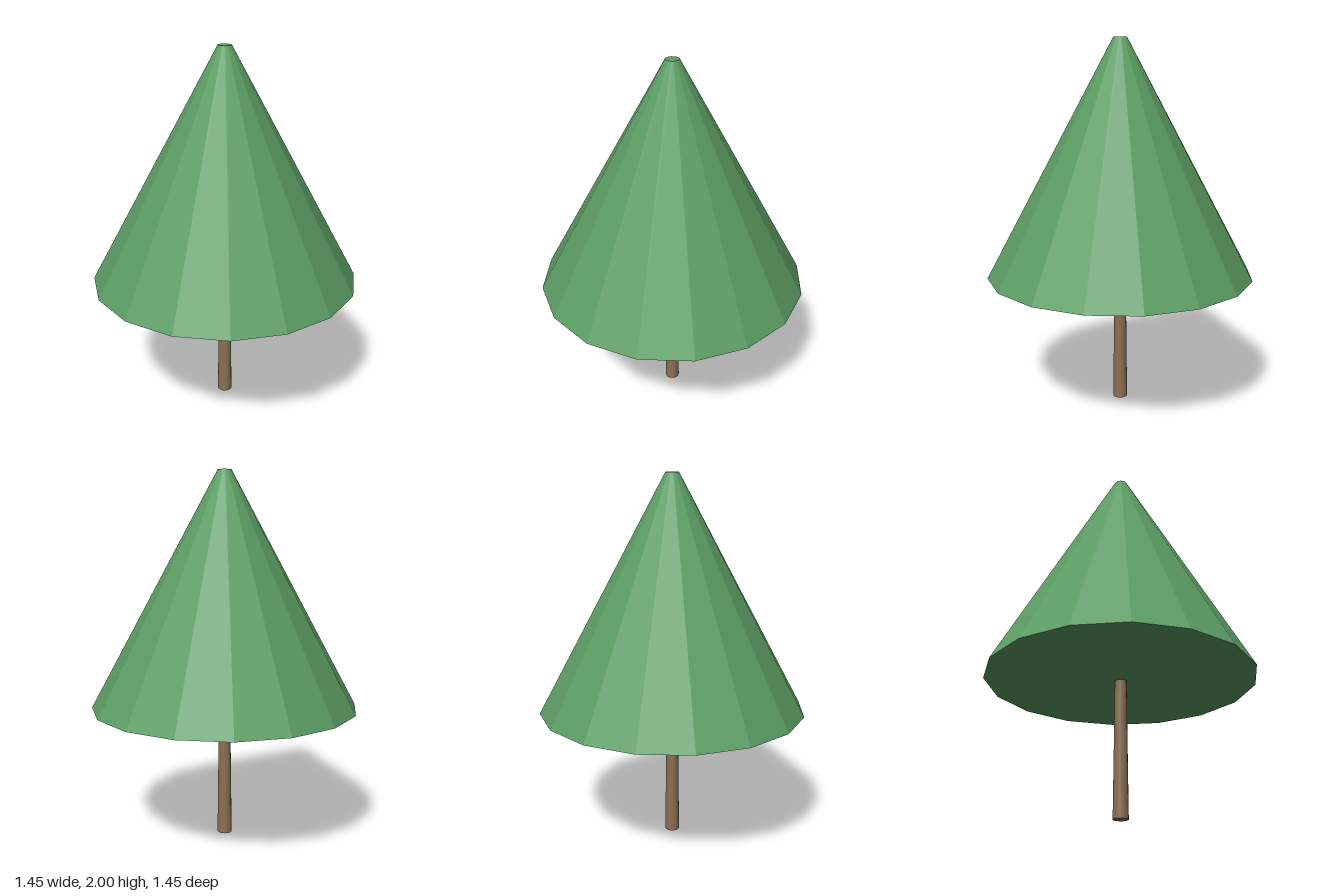
import * as THREE from 'three';

export function createModel() {
  const tree = new THREE.Group();
  tree.name = 'tree';
  const leafGreen = new THREE.MeshStandardMaterial({ color: 0x5c9e64, flatShading: true });
  leafGreen.name = 'leaf green';
  const barkBrown = new THREE.MeshStandardMaterial({ color: 0x8b7055, flatShading: true });
  barkBrown.name = 'bark brown';

  // Sixteen-sided tapered part standing between two heights
  function taper(name, topRadius, bottomRadius, y0, y1, material) {
    const geometry = new THREE.CylinderGeometry(topRadius, bottomRadius, y1 - y0, 16);
    const mesh = new THREE.Mesh(geometry, material);
    mesh.name = name;
    mesh.position.y = (y0 + y1) / 2;
    tree.add(mesh);
  }

  // Slim trunk, ending just inside the foliage
  taper('trunk', 0.031, 0.04, 0, 0.74, barkBrown);
  // Faceted cone of foliage with a small flat tip
  taper('foliage', 0.036, 0.725, 0.73, 2, leafGreen);

  return tree;
}
